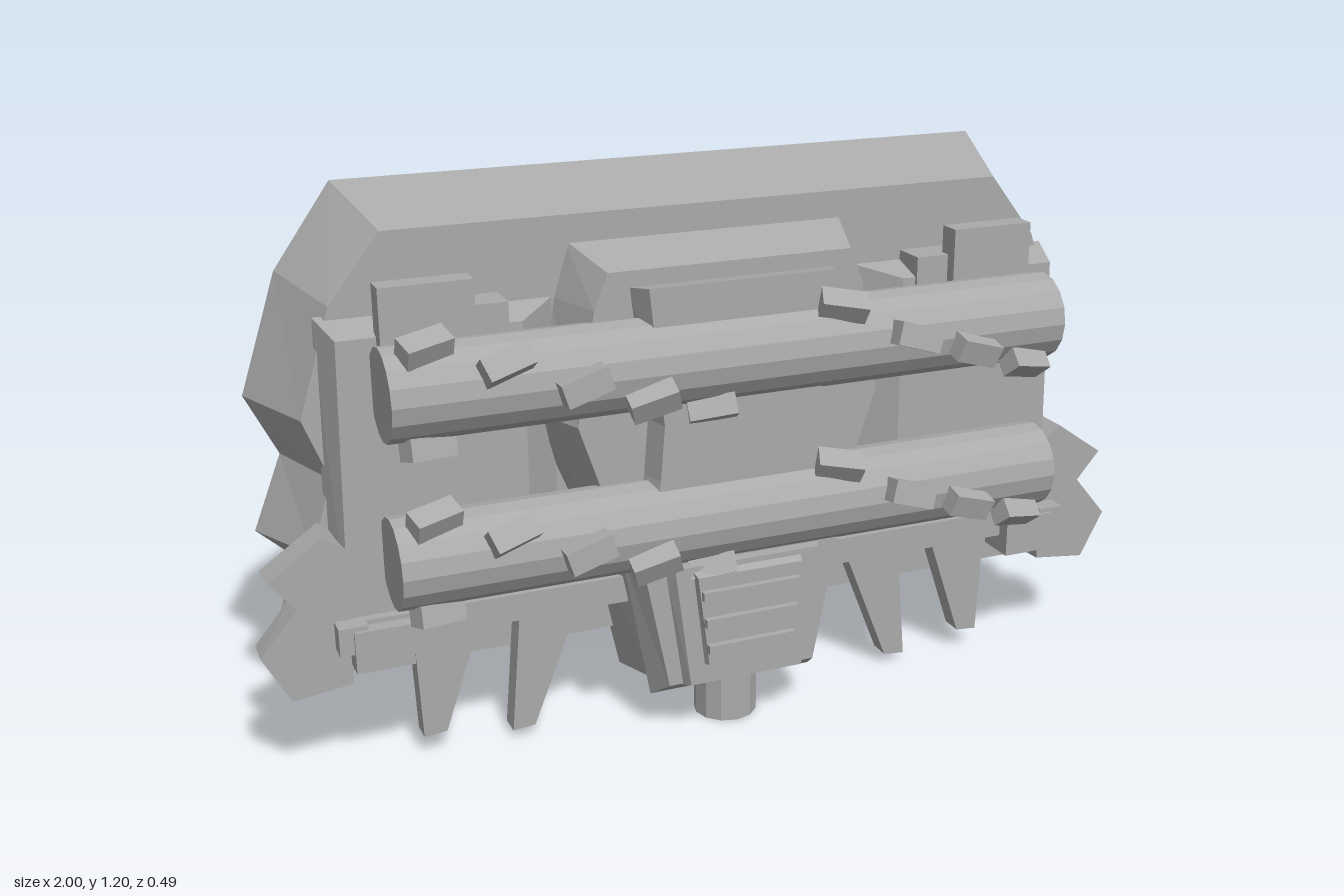
import * as THREE from 'three';

const gray = new THREE.MeshStandardMaterial({ color: 0xaaaaaa, flatShading: true });
gray.name = 'plain gray';

// Solid between two outlines with equal point counts, counter-clockwise seen from +z
function loft(back, front, z0, z1) {
  const n = back.length, pos = [];
  const A = back.map(p => [p[0], p[1], z0]), B = front.map(p => [p[0], p[1], z1]);
  const tri = (...c) => c.forEach(v => pos.push(...v));
  for (let i = 0; i < n; i++) {
    const j = (i + 1) % n;
    tri(A[i], A[j], B[j]);
    tri(A[i], B[j], B[i]);
  }
  const caps = pts => THREE.ShapeUtils.triangulateShape(pts.map(p => new THREE.Vector2(p[0], p[1])), []);
  caps(front).forEach(([a, b, c]) => tri(B[a], B[b], B[c]));
  caps(back).forEach(([a, b, c]) => tri(A[c], A[b], A[a]));
  const g = new THREE.BufferGeometry();
  g.setAttribute('position', new THREE.Float32BufferAttribute(pos, 3));
  g.computeVertexNormals();
  return g;
}

// Right half outline listed bottom to top, mirrored into a closed loop
const sym = half => [...half, ...half.slice().reverse().map(([x, y]) => [-x, y])];
// Outline reflected in x, keeping its winding
const flip = pts => pts.map(([x, y]) => [-x, y]).reverse();

export function createModel() {
  const model = new THREE.Group();
  const add = (name, geo, x = 0, y = 0, z = 0, parent = model) => {
    const m = new THREE.Mesh(geo, gray);
    m.name = name;
    m.position.set(x, y, z);
    parent.add(m);
    return m;
  };
  const box = (name, x0, x1, y0, y1, z0, z1) =>
    add(name, new THREE.BoxGeometry(x1 - x0, y1 - y0, z1 - z0), (x0 + x1) / 2, (y0 + y1) / 2, (z0 + z1) / 2);
  const both = (name, back, front, z0, z1) => {
    add(name + 'Left', loft(back, front, z0, z1));
    add(name + 'Right', loft(flip(back), flip(front), z0, z1));
  };

  // Thick jagged slab, wider at the back
  add('backSlab', loft(
    sym([[0.83, 0.145], [0.93, 0.215], [0.875, 0.395], [0.95, 0.465], [0.885, 0.63], [0.95, 0.765], [0.865, 1.02], [0.74, 1.195]]),
    sym([[0.79, 0.2], [0.86, 0.26], [0.81, 0.42], [0.87, 0.48], [0.82, 0.635], [0.87, 0.765], [0.8, 0.99], [0.69, 1.13]]),
    -0.245, -0.035));

  // Side plates with bevelled rims
  both('sidePlate',
    [[0.33, 0.3], [0.84, 0.3], [0.83, 0.968], [0.33, 0.968]],
    [[0.43, 0.32], [0.82, 0.32], [0.805, 0.94], [0.43, 0.94]], -0.05, 0.038);

  // Centre frame and raised panel
  add('centreFrame', loft(
    sym([[0.21, 0.1], [0.28, 0.42], [0.4, 0.72], [0.345, 0.96], [0.31, 1.075]]),
    sym([[0.18, 0.12], [0.24, 0.42], [0.34, 0.72], [0.3, 0.96], [0.27, 1.035]]), -0.05, 0.095));
  add('centrePanel', loft(
    sym([[0.19, 0.085], [0.25, 0.42], [0.2, 0.6], [0.19, 0.72], [0.225, 1.0]]),
    sym([[0.17, 0.13], [0.225, 0.41], [0.185, 0.6], [0.175, 0.72], [0.205, 1.01]]), 0.09, 0.155));

  // Stepped grille with slats
  add('grilleStep', loft(sym([[0.14, 0.125], [0.18, 0.41]]), sym([[0.13, 0.135], [0.165, 0.41]]), 0.15, 0.18));
  add('grillePlate', loft(sym([[0.1, 0.18], [0.125, 0.4]]), sym([[0.095, 0.185], [0.12, 0.39]]), 0.175, 0.197));
  [0.225, 0.287, 0.35].forEach(y => box('grilleSlat', -0.1 - (y - 0.225) * 0.1, 0.1 + (y - 0.225) * 0.1, y - 0.01, y + 0.01, 0.19, 0.212));

  // Two rollers with spiralling cleats: x, angle above the front, tilt
  const cleats = [[-0.66, 65, 1], [-0.515, 34, 1], [-0.365, 3, 1], [-0.22, -26, 1], [-0.075, -62, 1],
    [0.215, 56, -1], [0.365, 10, -1], [0.51, -14, -1], [0.655, -48, -1], [-0.66, -75, -1]];
  for (const y of [0.496, 0.846]) {
    const roller = new THREE.Group();
    roller.name = 'roller';
    roller.position.set(0, y, 0.112);
    model.add(roller);
    const g = new THREE.CylinderGeometry(0.095, 0.095, 1.48, 16);
    g.rotateZ(Math.PI / 2);
    add('rollerBar', g, 0, 0, 0, roller);
    for (const [x, deg, dir] of cleats) {
      const c = new THREE.BoxGeometry(0.1, 0.05, 0.045);
      c.rotateZ(dir * 0.3);
      c.translate(x, 0, 0.11);
      c.rotateX(-THREE.MathUtils.degToRad(deg));
      add('cleat', c, 0, 0, 0, roller);
    }
  }

  // Side claws and hanging teeth
  both('sideClaw',
    [[0.82, 0.21], [0.945, 0.192], [0.998, 0.3], [0.92, 0.397], [0.978, 0.462], [0.855, 0.548], [0.8, 0.5]],
    [[0.82, 0.215], [0.945, 0.2], [1.0, 0.305], [0.92, 0.4], [0.975, 0.465], [0.86, 0.545], [0.8, 0.5]], -0.035, 0.042);
  for (const t of [
    [[0.625, 0.05], [0.675, 0.045], [0.685, 0.3], [0.54, 0.3]],
    [[0.43, 0.023], [0.48, 0.018], [0.455, 0.3], [0.32, 0.3]]]) {
    both('tooth', t, t, -0.035, 0.015);
  }

  // Mounting blocks, lower rails and brackets on each side
  for (const s of [-1, 1]) {
    const side = (name, a, b, ...r) => box(name, Math.min(s * a, s * b), Math.max(s * a, s * b), ...r);
    side('topBlock', 0.535, 0.725, 0.85, 1.045, 0.02, 0.072);
    side('topBlockRear', 0.46, 0.62, 0.9, 0.985, -0.04, 0.045);
    side('lowerRail', 0.22, 0.82, 0.3, 0.36, -0.03, 0.06);
    side('railCap', 0.79, 0.85, 0.3, 0.36, -0.02, 0.085);
    side('railFoot', 0.7, 0.82, 0.26, 0.35, 0, 0.092);
  }

  // Hollow spout underneath
  const spout = new THREE.LatheGeometry(
    [[0.04, 0.12], [0.04, 0], [0.07, 0], [0.07, 0.12], [0.04, 0.12]].map(p => new THREE.Vector2(...p)), 12);
  add('spout', spout, 0, 0, 0.06);
  const plug = new THREE.CylinderGeometry(0.045, 0.045, 0.04, 12);
  add('spoutPlug', plug, 0, 0.1, 0.06);

  // Centre the depth
  return model;
}
